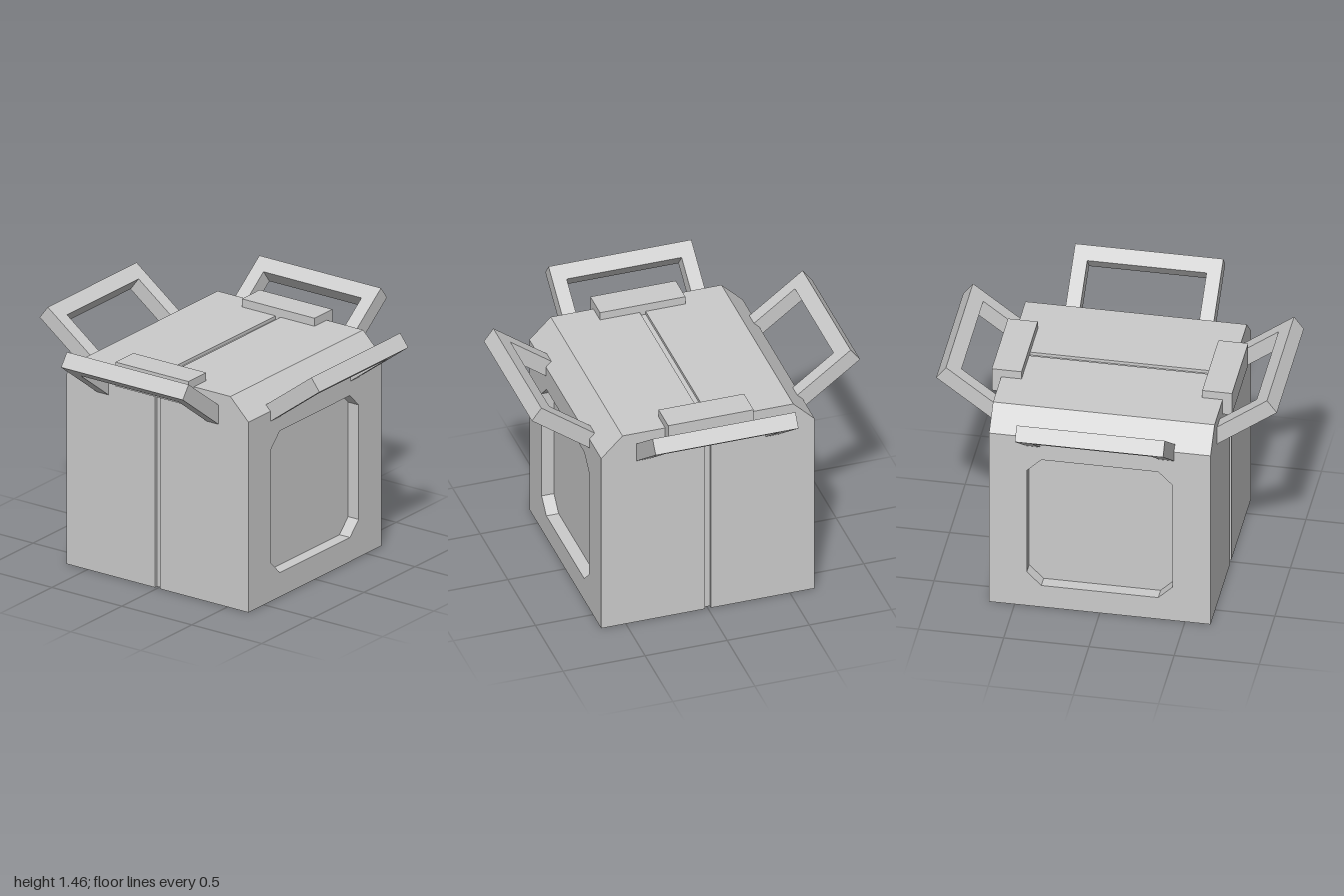
import * as THREE from 'three';

const HALF = 0.65;      // half width and depth of the box
const TOP = 1.31;
const SHOULDER = 1.18;  // where the sloped upper edges begin
const RIM = 0.52;       // half width of the flat top
const RECESS = 0.075;   // depth of the side recesses
const GROOVE = 0.018;   // half width of the centre groove
const CUT = 0.02;       // depth of the centre groove

const material = new THREE.MeshStandardMaterial({ color: 0xcccccc, flatShading: true });

const shapeOf = (pts) => new THREE.Shape(pts.map(([x, y]) => new THREE.Vector2(x, y)));
const extrude = (shape, depth) => new THREE.ExtrudeGeometry(shape, { depth, bevelEnabled: false });

function add(parent, name, geometry) {
  const mesh = new THREE.Mesh(geometry, material);
  mesh.name = name;
  parent.add(mesh);
  return mesh;
}

// Octagon: a rectangle with clipped corners
function clippedRect(w, y0, y1, c) {
  return [[-w + c, y0], [w - c, y0], [w, y0 + c], [w, y1 - c],
    [w - c, y1], [-w + c, y1], [-w, y1 - c], [-w, y0 + c]];
}

export function createModel() {
  const model = new THREE.Group();
  const inner = HALF - RECESS;

  // Core with sloped shoulders and the groove across the top
  const right = [[inner, 0], [inner, SHOULDER], [HALF, SHOULDER], [RIM, TOP],
    [GROOVE, TOP], [GROOVE, TOP - CUT]];
  const left = right.map(([x, y]) => [-x, y]).reverse();
  const core = extrude(shapeOf([...right, ...left]), 2 * (HALF - CUT));
  add(model, 'bodyCore', core.translate(0, 0, -HALF + CUT));

  // Front and back panels, split by the groove
  const half = [[GROOVE, 0], [inner, 0], [inner, SHOULDER], [HALF, SHOULDER], [RIM, TOP], [GROOVE, TOP]];
  for (const z of [HALF - CUT, -HALF]) {
    for (const s of [1, -1]) {
      const pts = half.map(([x, y]) => [s * x, y]);
      add(model, z > 0 ? 'frontPanel' : 'backPanel', extrude(shapeOf(pts), CUT).translate(0, 0, z));
    }
  }

  // Side panels, each with an octagonal recess
  for (const s of [1, -1]) {
    const side = shapeOf([[-HALF, 0], [HALF, 0], [HALF, SHOULDER], [-HALF, SHOULDER]]);
    side.holes.push(shapeOf(clippedRect(0.428, 0.15, 1.03, 0.085)));
    const geometry = extrude(side, RECESS).translate(0, 0, inner).rotateY(s * Math.PI / 2);
    add(model, s > 0 ? 'leftSidePanel' : 'rightSidePanel', geometry);
  }

  // Clips over the front and back top edges
  for (const s of [1, -1]) {
    const clip = add(model, s > 0 ? 'frontClip' : 'backClip', new THREE.BoxGeometry(0.52, 0.15, 0.175));
    clip.position.set(0, 1.285, s * 0.6175);
  }

  // Four slanted U-shaped handles
  const w = 0.435, leg = 0.085, bar = 0.095, len = 0.5;
  const handleGeometry = extrude(shapeOf([[-w, 0], [-w + leg, 0], [-w + leg, len - bar],
    [w - leg, len - bar], [w - leg, 0], [w, 0], [w, len], [-w, len]]), 0.096);
  handleGeometry.rotateX(Math.atan2(0.8, 0.6)).translate(0, 1.157, 0.542);
  ['frontHandle', 'leftHandle', 'backHandle', 'rightHandle'].forEach((name, i) => {
    add(model, name, handleGeometry).rotation.y = i * Math.PI / 2;
  });

  return model;
}
